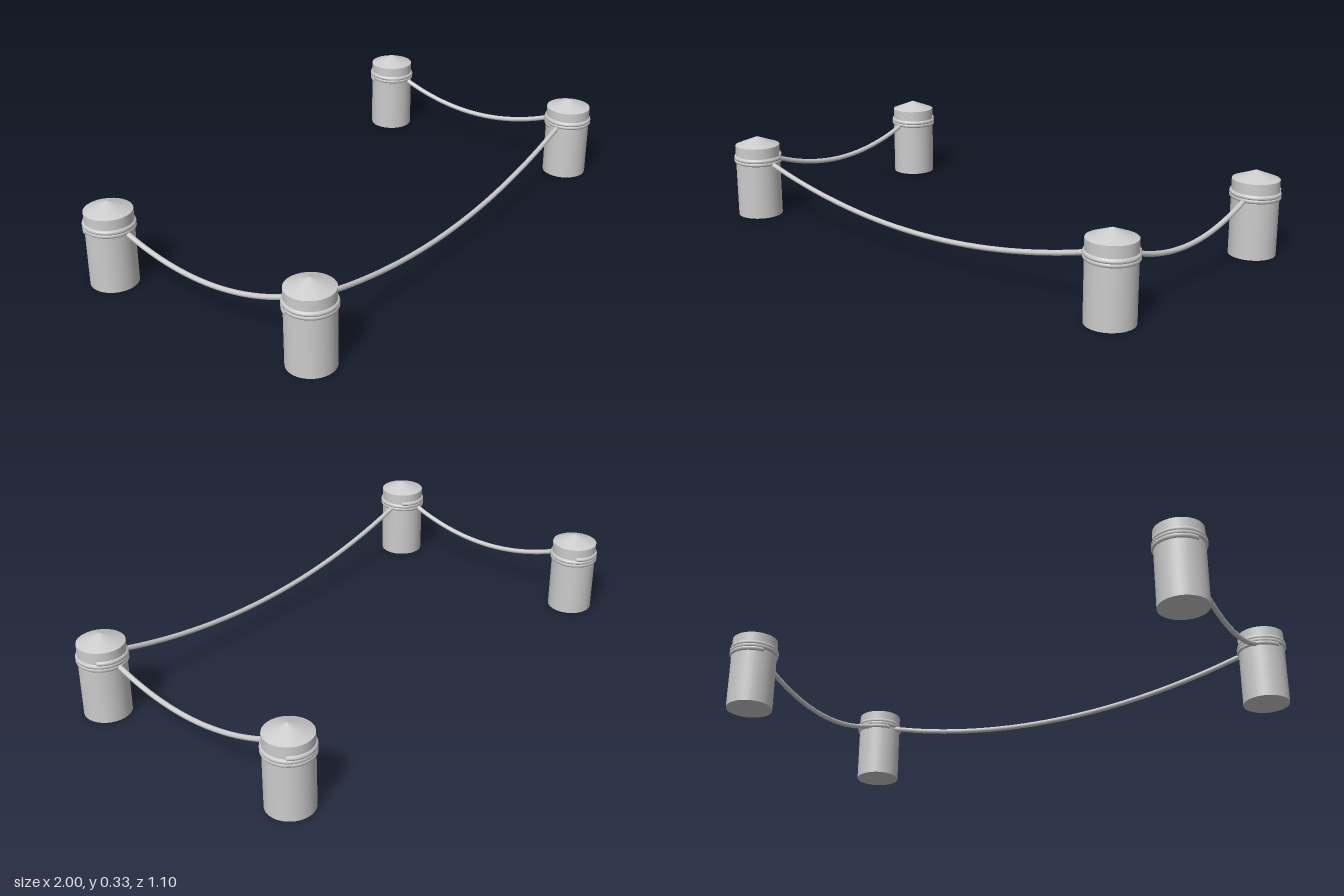
import * as THREE from 'three';

const X = 0.905, Z = 0.455;      // post positions
const POST_R = 0.09, ROPE_R = 0.01;

const material = new THREE.MeshStandardMaterial({ color: 0xcccccc });

function mesh(name, geometry) {
  const m = new THREE.Mesh(geometry, material);
  m.name = name;
  return m;
}

// Tube along a curve, closed with a small ball at each end
function rope(name, curve, segments) {
  const group = new THREE.Group();
  group.name = name;
  group.add(mesh(name + 'Strand', new THREE.TubeGeometry(curve, segments, ROPE_R, 10)));
  for (const t of [0, 1]) {
    const end = mesh(name + 'End', new THREE.SphereGeometry(ROPE_R, 10, 6));
    end.position.copy(curve.getPoint(t));
    group.add(end);
  }
  return group;
}

// Rope wound around a post in a tight rising helix
function coil() {
  const turns = 2.3, points = [];
  const steps = 56, last = 0.72; // angle where the top end rests
  for (let i = 0; i <= steps; i++) {
    const t = i / steps;
    const a = last + (1 - t) * turns * Math.PI * 2;
    points.push(new THREE.Vector3(Math.cos(a) * 0.087, 0.223 + 0.029 * t, -Math.sin(a) * 0.087));
  }
  return rope('ropeCoil', new THREE.CatmullRomCurve3(points), 120);
}

// Round post with a shallow conical top
function post() {
  const group = new THREE.Group();
  group.name = 'post';
  const body = mesh('postBody', new THREE.CylinderGeometry(POST_R, POST_R, 0.295, 32));
  body.position.y = 0.1475;
  const cap = mesh('postCap', new THREE.ConeGeometry(POST_R, 0.035, 32, 1, true));
  cap.position.y = 0.3125;
  group.add(body, cap, coil());
  return group;
}

// Rope sagging in a parabola between two posts, running along x
function saggingRope(name, halfSpan, endY, midY) {
  const points = [];
  for (let i = -6; i <= 6; i++) {
    const t = i / 6;
    points.push(new THREE.Vector3(t * halfSpan, midY + (endY - midY) * t * t, 0));
  }
  return rope(name, new THREE.CatmullRomCurve3(points), 32);
}

export function createModel() {
  const model = new THREE.Group();
  model.name = 'ropeFence';

  for (const sx of [-1, 1]) {
    for (const sz of [-1, 1]) {
      const p = post();
      p.position.set(sx * X, 0, sz * Z);
      model.add(p);
    }
    const side = saggingRope('sideRope', Z - 0.08, 0.227, 0.148);
    side.rotation.y = Math.PI / 2;
    side.position.x = sx * X;
    model.add(side);
  }

  const front = saggingRope('frontRope', X - 0.08, 0.225, 0.108);
  front.position.z = Z - 0.005;
  model.add(front);

  return model;
}
